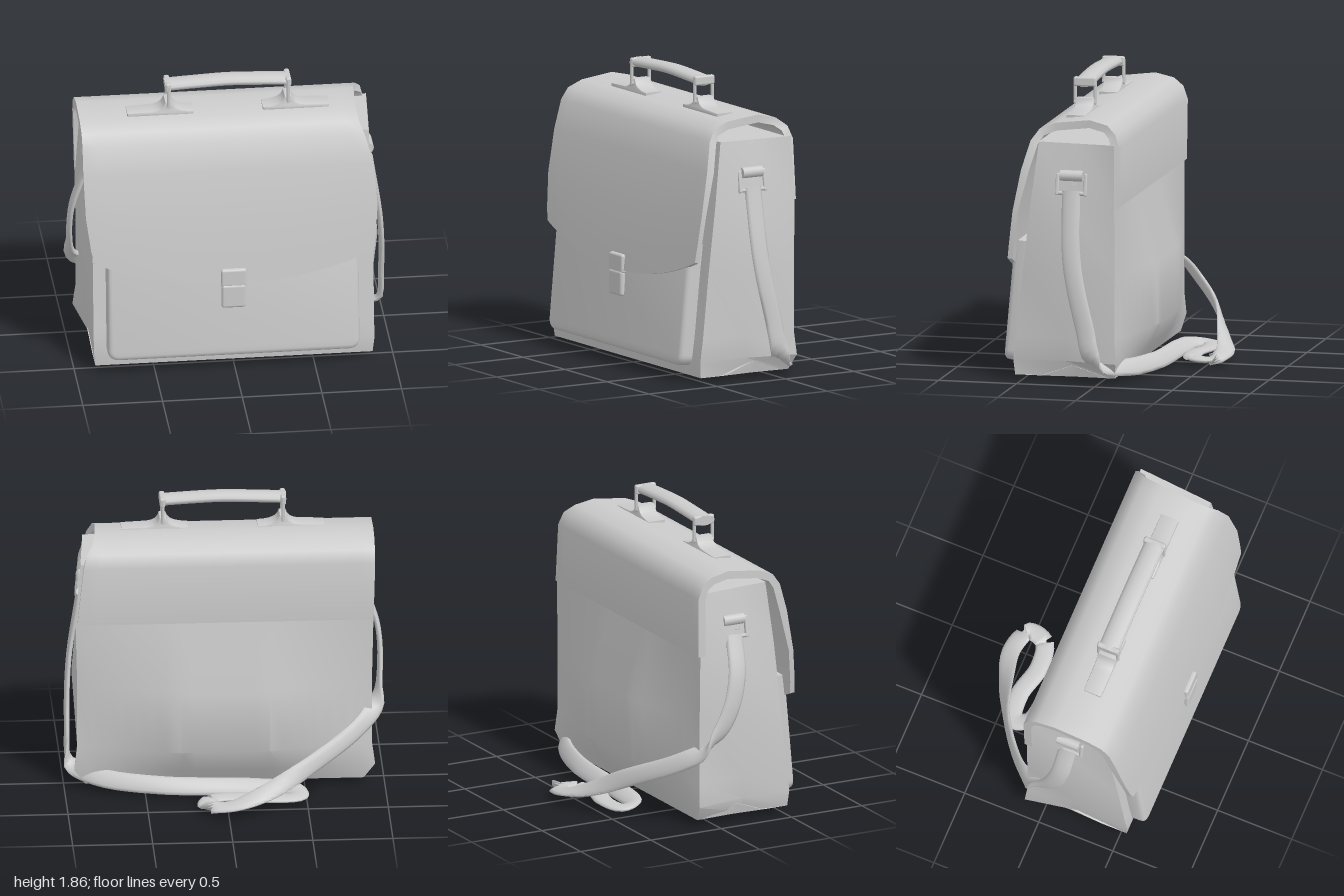
import * as THREE from 'three';
import { toCreasedNormals } from 'three/addons/utils/BufferGeometryUtils.js';
import { RoundedBoxGeometry } from 'three/addons/geometries/RoundedBoxGeometry.js';

const material = new THREE.MeshStandardMaterial({ color: 0xcccccc, side: THREE.DoubleSide });
const V = (x, y, z) => new THREE.Vector3(x, y, z);

function part(parent, name, geometry, x = 0, y = 0, z = 0) {
  const mesh = new THREE.Mesh(geometry, material);
  mesh.name = name;
  mesh.position.set(x, y, z);
  parent.add(mesh);
  return mesh;
}

// Skin closed rings; each end is capped between points i and last - i, with an optional bulge in x.
function loft(rings, bulge = () => 0, crease = 0.7) {
  const pos = [];
  const quad = (a, b, c, d) => [a, b, c, a, c, d].forEach((p) => pos.push(p.x, p.y, p.z));
  const n = rings[0].length;
  for (let j = 0; j < rings.length - 1; j++)
    for (let k = 0; k < n; k++) {
      const m = (k + 1) % n;
      quad(rings[j][k], rings[j][m], rings[j + 1][m], rings[j + 1][k]);
    }
  [[rings[0], -1], [rings[rings.length - 1], 1]].forEach(([r, side]) => {
    const middle = (i) => {
      const p = r[i].clone().lerp(r[n - 1 - i], 0.5);
      p.x += side * bulge(i);
      return p;
    };
    for (let i = 0; i < n / 2 - 1; i++) {
      const strips = [
        [r[i], r[i + 1], middle(i + 1), middle(i)],
        [middle(i), middle(i + 1), r[n - 2 - i], r[n - 1 - i]],
      ];
      strips.forEach((s) => quad(...(side > 0 ? s : s.reverse())));
    }
  });
  const geo = new THREE.BufferGeometry();
  geo.setAttribute('position', new THREE.Float32BufferAttribute(pos, 3));
  geo.computeVertexNormals();
  return toCreasedNormals(geo, crease);
}

// Band with an oval section, following points; widthDirs turn the flat side.
function band(points, widthDirs, width, thickness, steps) {
  const path = new THREE.CatmullRomCurve3(points, false, 'centripetal');
  const dirs = new THREE.CatmullRomCurve3(widthDirs);
  const rings = [];
  for (let j = 0; j <= steps; j++) {
    const t = j / steps;
    const p = path.getPoint(t), tan = path.getTangent(t), w = dirs.getPoint(t);
    w.addScaledVector(tan, -w.dot(tan)).normalize();
    const nrm = tan.clone().cross(w);
    const ring = [];
    for (let k = 0; k < 12; k++) {
      const a = ((k + 0.5) / 12) * Math.PI * 2;
      ring.push(p.clone().addScaledVector(w, Math.cos(a) * width / 2)
        .addScaledVector(nrm, Math.sin(a) * thickness / 2));
    }
    rings.push(ring);
  }
  return loft(rings, undefined, 1.2);
}

// Body: rows are y, back z, front z, back half width, front half width, back bulge, gusset bulge
function bodyGeometry() {
  const rows = [
    [0.09, 0.16, 0.18, 0.88, 0.88, 0, 0],
    [0.02, -0.06, 0.37, 0.87, 0.87, 0, -0.01],
    [0.02, -0.1, 0.54, 0.87, 0.87, 0, -0.03],
    [0.12, -0.12, 0.55, 0.94, 0.88, 0.04, -0.03],
    [0.27, -0.11, 0.53, 0.92, 0.88, 0.13, -0.01],
    [0.67, -0.11, 0.49, 0.92, 0.88, 0.13, 0.04],
    [1.1, -0.11, 0.44, 0.93, 0.88, 0, 0.0],
    [1.5, -0.1, 0.39, 0.9, 0.86, 0, -0.05],
  ];
  const rings = [];
  for (let j = 0; j <= 20; j++) {
    const s = -1 + j / 10;
    const u = Math.min(1, (1 - Math.abs(s)) / 0.7);
    const back = rows.map((r) => V(s * r[3], r[0], r[1] - r[5] * u));
    const front = rows.map((r) => V(s * r[4], r[0], r[2]));
    rings.push([...back, ...front.reverse()]);
  }
  return loft(rings, (i) => rows[i][6], 0.5);
}

// Flap: rows are z, y, left x, right x along its run from the back over the top
function flapGeometry() {
  const rows = [
    [-0.125, 1.1, -0.93, 0.92], [-0.128, 1.48, -0.94, 0.88], [-0.1, 1.56, -0.94, 0.86],
    [-0.04, 1.61, -0.94, 0.82], [0.08, 1.637, -0.94, 0.8], [0.3, 1.61, -0.94, 0.79],
    [0.4, 1.57, -0.94, 0.8], [0.45, 1.5, -0.94, 0.83], [0.5, 1.32, -0.94, 0.88],
    [0.565, 0.98, -0.93, 0.9], [0.6, 0.7, -0.9, 0.885], [0.613, 0.59, -0.88, 0.875],
  ];
  const rings = [];
  for (let j = 0; j <= 20; j++) {
    const s = j / 20;
    const end = 0.585 + 0.17 * Math.pow(Math.abs(2 * s - 1), 2.2);
    const k = (1.32 - end) / 0.73;
    const pts = rows.map(([z, y, l, r], i) => i > 8
      ? V(l + (r - l) * s, 1.32 - (1.32 - y) * k, 0.5 + (z - 0.5) * k)
      : V(l + (r - l) * s, y, z));
    const inner = pts.map((p, i) => {
      const a = pts[Math.max(0, i - 1)], b = pts[Math.min(pts.length - 1, i + 1)];
      const d = V(0, b.y - a.y, b.z - a.z).normalize();
      const thick = i < 9 ? 0.05 : 0.032;
      return V(p.x, p.y - d.z * thick, p.z + d.y * thick);
    });
    rings.push([...pts, ...inner.reverse()]);
  }
  return loft(rings);
}

function pocketGeometry() {
  const l = -0.77, r = 0.75, h = 0.74, c = 0.04;
  const s = new THREE.Shape();
  s.moveTo(l + c, 0.03).lineTo(r - c, 0.03).quadraticCurveTo(r, 0.03, r, 0.03 + c);
  s.lineTo(r, h).lineTo(l, h).lineTo(l, 0.03 + c).quadraticCurveTo(l, 0.03, l + c, 0.03);
  return toCreasedNormals(new THREE.ExtrudeGeometry(s, {
    depth: 0.08, bevelSize: 0.03, bevelThickness: 0.03, bevelSegments: 3, curveSegments: 5,
  }), 0.7);
}

// Flared leather foot under each end of the handle
function footGeometry() {
  const s = new THREE.Shape();
  s.moveTo(-0.25, 0).lineTo(0.15, 0).lineTo(0.15, 0.012);
  s.quadraticCurveTo(0.03, 0.015, 0.015, 0.08).lineTo(-0.015, 0.08);
  s.quadraticCurveTo(-0.03, 0.02, -0.11, 0.018).lineTo(-0.25, 0.012);
  return toCreasedNormals(new THREE.ExtrudeGeometry(s, {
    depth: 0.1, bevelSize: 0.008, bevelThickness: 0.01, bevelSegments: 2, curveSegments: 6,
  }), 0.7);
}

export function createModel() {
  const bag = new THREE.Group();
  bag.name = 'satchel';
  part(bag, 'body', bodyGeometry());
  part(bag, 'flap', flapGeometry());
  part(bag, 'frontPocket', pocketGeometry(), 0, 0.08, 0.53).rotation.x = -0.09;

  // Clasp
  part(bag, 'claspUpper', new RoundedBoxGeometry(0.16, 0.12, 0.04, 2, 0.015), -0.01, 0.625, 0.607);
  part(bag, 'claspLower', new RoundedBoxGeometry(0.155, 0.16, 0.04, 2, 0.018), -0.01, 0.5, 0.612);

  // Carrying handle
  const handle = new THREE.Group();
  handle.name = 'handle';
  bag.add(handle);
  part(handle, 'grip', band(
    [V(-0.4, 1.8, 0.215), V(-0.2, 1.81, 0.215), V(0, 1.817, 0.215), V(0.2, 1.81, 0.215), V(0.38, 1.8, 0.215)],
    [V(0, 0, 1), V(0, 0, 1)], 0.135, 0.065, 16));
  [-1, 1].forEach((side) => {
    const x = side * 0.38 - (side > 0 ? 0.01 : 0);
    part(handle, 'gripEnd', new RoundedBoxGeometry(0.035, 0.06, 0.145, 2, 0.012), x + side * 0.002, 1.802, 0.212);
    const foot = part(handle, 'handleFoot', footGeometry(), x, 1.613, side < 0 ? 0.16 : 0.26);
    if (side > 0) foot.rotation.y = Math.PI;
    [0.148, 0.276].forEach((z) =>
      part(handle, 'handlePost', new THREE.CylinderGeometry(0.011, 0.011, 0.15, 8), x, 1.74, z));
    part(handle, 'handleRod', new THREE.CylinderGeometry(0.014, 0.014, 0.14, 8), x, 1.672, 0.212).rotation.x = Math.PI / 2;
  });

  // Side buckles
  [-1, 1].forEach((side) => {
    const buckle = new THREE.Group();
    buckle.name = 'strapBuckle';
    buckle.position.set(side * 0.885, 1.24, side < 0 ? 0.15 : 0.175);
    buckle.rotation.z = side * 0.15;
    bag.add(buckle);
    [-0.09, 0.09].forEach((z) =>
      part(buckle, 'buckleSide', new RoundedBoxGeometry(0.025, 0.14, 0.022, 2, 0.008), 0, 0, z));
    part(buckle, 'buckleBar', new THREE.CylinderGeometry(0.013, 0.013, 0.19, 8), 0, -0.055, 0).rotation.x = Math.PI / 2;
    part(buckle, 'buckleLoop', new THREE.CylinderGeometry(0.034, 0.034, 0.145, 12), 0, 0.055, 0).rotation.x = Math.PI / 2;
    part(buckle, 'buckleTab', new RoundedBoxGeometry(0.05, 0.1, 0.1, 2, 0.012), -side * 0.03, 0.03, 0);
  });

  // Shoulder strap: position, then the direction of its width
  const strap = [
    [-0.89, 1.2, 0.15, 0, 0, 1], [-0.97, 0.95, 0.13, 0, 0, 1], [-0.98, 0.7, 0.06, 0, 0.3, 1],
    [-0.94, 0.5, -0.07, 0, 0.7, 0.7], [-0.83, 0.4, -0.2, 0, 1, 0.3], [-0.55, 0.26, -0.4, 0, 1, 0.2],
    [-0.25, 0.12, -0.53, 0, 0.7, 0.7], [-0.02, 0.05, -0.585, 0, 0.2, 1], [0.13, 0.03, -0.53, 1, 0, 0.4],
    [0.1, 0.03, -0.42, 0.7, 0, -0.7], [-0.07, 0.03, -0.385, 0, 0, -1], [-0.28, 0.03, -0.43, 0, 0, -1],
    [-0.45, 0.03, -0.4, -1, 0, -0.4], [-0.42, 0.04, -0.31, -0.6, 0.3, 0.6], [-0.15, 0.05, -0.275, 0, 0.6, 0.7],
    [0.4, 0.06, -0.25, 0, 0.8, 0.6], [0.8, 0.08, -0.13, 0, 0.8, 0.6], [0.96, 0.13, 0.01, 0, 0.5, 0.8],
    [0.975, 0.35, 0.07, 0, 0, 1], [0.96, 0.75, 0.155, 0, 0, 1], [0.895, 1.2, 0.175, 0, 0, 1],
  ];
  part(bag, 'shoulderStrap', band(
    strap.map((r) => V(r[0], r[1], r[2])), strap.map((r) => V(r[3], r[4], r[5])), 0.12, 0.035, 110));
  return bag;
}
